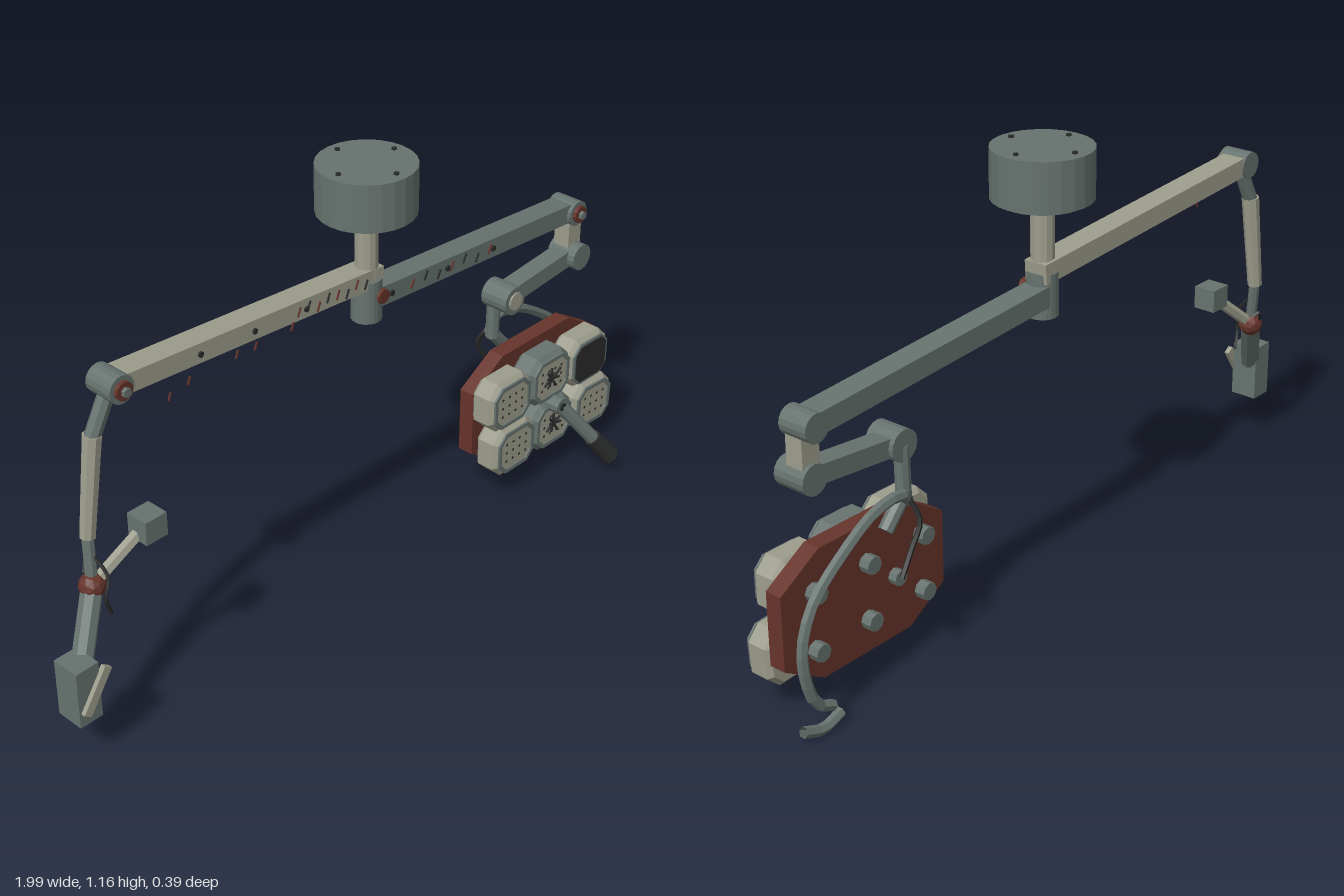
import * as THREE from 'three';

const mat = (name, color) => new THREE.MeshStandardMaterial({ name, color, flatShading: true, side: THREE.DoubleSide });
const V = (a) => new THREE.Vector3(...a);

export function createModel() {
  const root = new THREE.Group();
  root.name = 'surgicalLamp';
  const cream = mat('cream', 0x9d9d8d), grey = mat('steelGrey', 0x67736f);
  const red = mat('rustRed', 0x66342b), black = mat('black', 0x2a2b2b);

  const add = (name, geo, m, pos = [0, 0, 0], parent = root) => {
    const mesh = new THREE.Mesh(geo, m);
    mesh.name = name;
    mesh.position.set(...pos);
    parent.add(mesh);
    return mesh;
  };
  const up = new THREE.Vector3(0, 1, 0);
  // round rod between two points
  const rod = (name, a, b, r, m, sides = 8, r2 = r) => {
    const p = V(a), q = V(b), d = q.clone().sub(p);
    const mesh = add(name, new THREE.CylinderGeometry(r2, r, d.length(), sides), m, p.clone().add(q).multiplyScalar(0.5).toArray());
    mesh.quaternion.setFromUnitVectors(up, d.normalize());
    return mesh;
  };
  // rectangular beam in the xy plane
  const beam = (name, a, b, h, d, z, m) => {
    const dx = b[0] - a[0], dy = b[1] - a[1];
    const mesh = add(name, new THREE.BoxGeometry(Math.hypot(dx, dy), h, d), m, [(a[0] + b[0]) / 2, (a[1] + b[1]) / 2, z]);
    mesh.rotation.z = Math.atan2(dy, dx);
    return mesh;
  };
  const pivot = (name, x, y, r, z0, z1, m = grey, sides = 16) => rod(name, [x, y, z0], [x, y, z1], r, m, sides);
  const tube = (name, pts, r, m, seg = 24, sides = 6) =>
    add(name, new THREE.TubeGeometry(new THREE.CatmullRomCurve3(pts.map(V)), seg, r, sides), m);
  const octagon = (w, h, cx, cy = cx) => new THREE.Shape([
    [-w + cx, -h], [w - cx, -h], [w, -h + cy], [w, h - cy], [w - cx, h], [-w + cx, h], [-w, h - cy], [-w, -h + cy],
  ].map(([x, y]) => new THREE.Vector2(x, y)));

  // ceiling mount and post
  const HX = 0.07, HZ = -0.0625;
  const upright = (name, y0, y1, r, m, sides = 20) => rod(name, [HX, y0, HZ], [HX, y1, HZ], r, m, sides);
  upright('ceilingCanister', 1.035, 1.162, 0.127, grey, 24);
  upright('canisterLip', 1.026, 1.036, 0.108, grey, 24);
  upright('mountRing', 1.018, 1.027, 0.062, red);
  upright('post', 0.84, 1.02, 0.03, cream, 12);
  upright('hub', 0.735, 0.85, 0.04, grey);
  for (let i = 0; i < 4; i++) {
    const a = (i * Math.PI) / 2;
    const x = HX + 0.097 * Math.cos(a), z = HZ + 0.097 * Math.sin(a);
    rod('canisterBolt', [x, 1.158, z], [x, 1.167, z], 0.007, black, 6);
  }

  // main arms
  beam('leftArm', [0.1, 0.853], [-0.75, 0.912], 0.052, 0.066, -0.066, cream);
  beam('rightArm', [0.07, 0.795], [0.87, 0.742], 0.054, 0.066, -0.066, grey);
  const elbows = [[-0.75, 0.912], [0.87, 0.74]];
  for (const [x, y] of elbows) {
    pivot('elbow', x, y, 0.036, -0.104, -0.022);
    pivot('elbowCap', x, y, 0.024, -0.022, -0.012, red, 12);
    pivot('elbowBolt', x, y, 0.012, -0.012, -0.002, grey, 6);
  }
  pivot('hubCap', 0.085, 0.805, 0.02, -0.03, -0.015, red, 10);

  // arm bolts and scratches
  const leftY = (x) => 0.858 - 0.0694 * x, rightY = (x) => 0.8 - 0.066 * x;
  for (const x of [-0.51, -0.34, -0.17]) pivot('armBolt', x, leftY(x), 0.008, -0.036, -0.028, black, 6);
  for (const x of [0.13, 0.34, 0.52]) pivot('armBolt', x, rightY(x), 0.009, -0.036, -0.028, black, 6);
  for (let i = 0; i < 8; i++) {
    const x = -0.2 + i * 0.033, y = leftY(x) + 0.008 * Math.sin(i * 2.3);
    beam('scratch', [x, y - 0.012], [x + 0.01, y + 0.012], 0.003, 0.004, -0.031, i % 2 ? black : red);
  }
  for (let i = 0; i < 7; i++) {
    const x = 0.2 + i * 0.05, y = rightY(x) + 0.008 * Math.sin(i * 2.1);
    beam('scratch', [x, y - 0.012], [x + 0.012, y + 0.012], 0.004, 0.004, -0.031, i % 3 ? black : red);
  }
  for (const [x, y] of [[-0.61, 0.826], [-0.55, 0.842], [-0.4, 0.846], [-0.34, 0.842], [-0.22, 0.843]])
    beam('flake', [x - 0.004, y - 0.01], [x + 0.004, y + 0.01], 0.004, 0.004, -0.03, red);

  // left drop arm with forked bracket
  rod('dropUpper', [-0.755, 0.9, -0.065], [-0.808, 0.79, -0.07], 0.02, grey);
  rod('dropSleeve', [-0.806, 0.8, -0.07], [-0.84, 0.535, -0.075], 0.024, cream, 8, 0.02);
  rod('dropRod', [-0.84, 0.54, -0.075], [-0.85, 0.41, -0.06], 0.015, grey);
  add('swivelBall', new THREE.IcosahedronGeometry(0.034, 1), red, [-0.85, 0.41, -0.06]);
  rod('upperFork', [-0.85, 0.41, -0.06], [-0.71, 0.525, -0.025], 0.016, cream, 6);
  add('upperBracket', new THREE.BoxGeometry(0.065, 0.063, 0.064), grey, [-0.706, 0.528, -0.022]);
  rod('lowerFork', [-0.85, 0.41, -0.06], [-0.95, 0.245, 0.0], 0.027, grey, 8);
  add('lowerBracket', new THREE.BoxGeometry(0.066, 0.158, 0.078), grey, [-0.967, 0.215, 0.009]);
  beam('bracketStrip', [-0.985, 0.17], [-0.915, 0.275], 0.024, 0.014, 0.053, cream);
  tube('looseWire', [[-0.84, 0.49, -0.06], [-0.83, 0.44, -0.025], [-0.845, 0.39, -0.02], [-0.825, 0.33, -0.03]], 0.005, black, 10, 4);
  tube('looseWire', [[-0.85, 0.43, -0.09], [-0.83, 0.46, -0.1], [-0.815, 0.45, -0.09]], 0.005, black, 6, 4);

  // right folding links
  beam('shortLink', [0.87, 0.74], [0.87, 0.61], 0.052, 0.05, -0.055, cream);
  pivot('lowerElbow', 0.87, 0.612, 0.038, -0.09, 0.0);
  beam('foldLink', [0.87, 0.612], [0.59, 0.585], 0.048, 0.055, -0.05, grey);
  pivot('wrist', 0.59, 0.587, 0.041, -0.09, -0.005);
  pivot('wristCap', 0.59, 0.587, 0.026, -0.005, 0.0, cream, 12);
  rod('headPost', [0.587, 0.585, -0.075], [0.587, 0.45, -0.078], 0.019, grey);
  rod('headNeck', [0.587, 0.46, -0.078], [0.65, 0.39, -0.078], 0.019, grey);

  // curved yoke behind the head, with its broken end
  tube('yoke', [[0.59, 0.45, -0.095], [0.62, 0.48, -0.105], [0.71, 0.475, -0.108], [0.83, 0.41, -0.112], [0.92, 0.335, -0.115],
    [0.962, 0.25, -0.12], [0.96, 0.16, -0.123], [0.93, 0.085, -0.125], [0.885, 0.062, -0.127]], 0.014, grey, 18);
  tube('yokeFragment', [[0.865, 0.036, -0.13], [0.925, 0.022, -0.133], [0.985, 0.043, -0.133]], 0.014, grey, 5);
  tube('hangingCable', [[0.6, 0.47, -0.1], [0.59, 0.41, -0.13], [0.62, 0.35, -0.13], [0.66, 0.29, -0.135]], 0.007, black, 10, 5);

  // back plate with studs
  const plate = new THREE.ExtrudeGeometry(octagon(0.262, 0.168, 0.12, 0.072), { depth: 0.046, bevelEnabled: false });
  add('backPlate', plate, red, [0.703, 0.255, -0.061]);
  for (const x of [0.52, 0.7, 0.87]) for (const y of [0.175, 0.325]) pivot('stud', x, y, 0.023, -0.09, -0.055, grey, 8);
  pivot('stud', 0.61, 0.25, 0.02, -0.085, -0.055, grey, 8);

  // six lamp modules
  const bodyGeo = new THREE.ExtrudeGeometry(octagon(0.073, 0.063, 0.028), {
    depth: 0.05, bevelEnabled: true, bevelThickness: 0.012, bevelSize: 0.012, bevelSegments: 1,
  });
  const frameShape = octagon(0.074, 0.064, 0.028);
  frameShape.holes.push(new THREE.Path(octagon(0.063, 0.053, 0.022).getPoints().reverse()));
  const frameGeo = new THREE.ExtrudeGeometry(frameShape, { depth: 0.006, bevelEnabled: false });
  const darkGeo = new THREE.ExtrudeGeometry(octagon(0.066, 0.056, 0.02), { depth: 0.008, bevelEnabled: false });
  const dotGeo = new THREE.CircleGeometry(0.0045, 6);
  const modules = [
    [0.512, 0.328, 0, cream, 'lit'], [0.68, 0.333, 0, grey, 'cracked'], [0.85, 0.32, 0, cream, 'dead'],
    [0.537, 0.172, 0, cream, 'lit'], [0.7, 0.176, 0, grey, 'cracked'], [0.882, 0.16, -0.05, cream, 'lit'],
  ];
  for (const [x, y, tilt, body, state] of modules) {
    const g = new THREE.Group();
    g.name = 'lampModule';
    g.position.set(x, y, 0);
    g.rotation.z = tilt;
    root.add(g);
    add('moduleBody', bodyGeo, body, [0, 0, 0], g);
    add('moduleFrame', frameGeo, grey, [0, 0, 0.0615], g);
    if (state === 'dead') {
      add('darkLens', darkGeo, black, [0, 0, 0.0615], g);
      continue;
    }
    add('lens', new THREE.ShapeGeometry(octagon(0.063, 0.053, 0.022)), cream, [0, 0, 0.0635], g);
    for (let i = 0; i < 4; i++) for (let j = 0; j < 3; j++)
      add('diode', dotGeo, black, [(i - 1.5) * 0.027, (j - 1) * 0.027, 0.065], g);
    if (state === 'cracked') for (let k = 0; k < 5; k++) {
      const crack = add('crack', new THREE.BoxGeometry(0.05 + 0.008 * (k % 3), 0.005, 0.006), black, [0.006 * (k - 2), 0.005 * Math.sin(k * 2), 0.066], g);
      crack.rotation.z = 0.7 + k * 0.75;
    }
  }

  // central handle
  pivot('handleSocket', 0.69, 0.25, 0.024, 0.05, 0.1, grey, 10);
  rod('handleShaft', [0.69, 0.255, 0.083], [0.795, 0.105, 0.147], 0.02, grey);
  rod('handleGrip', [0.785, 0.12, 0.141], [0.834, 0.048, 0.172], 0.025, black, 10, 0.028);
  pivot('handlePin', 0.69, 0.25, 0.012, 0.1, 0.105, black, 8);
  return root;
}
